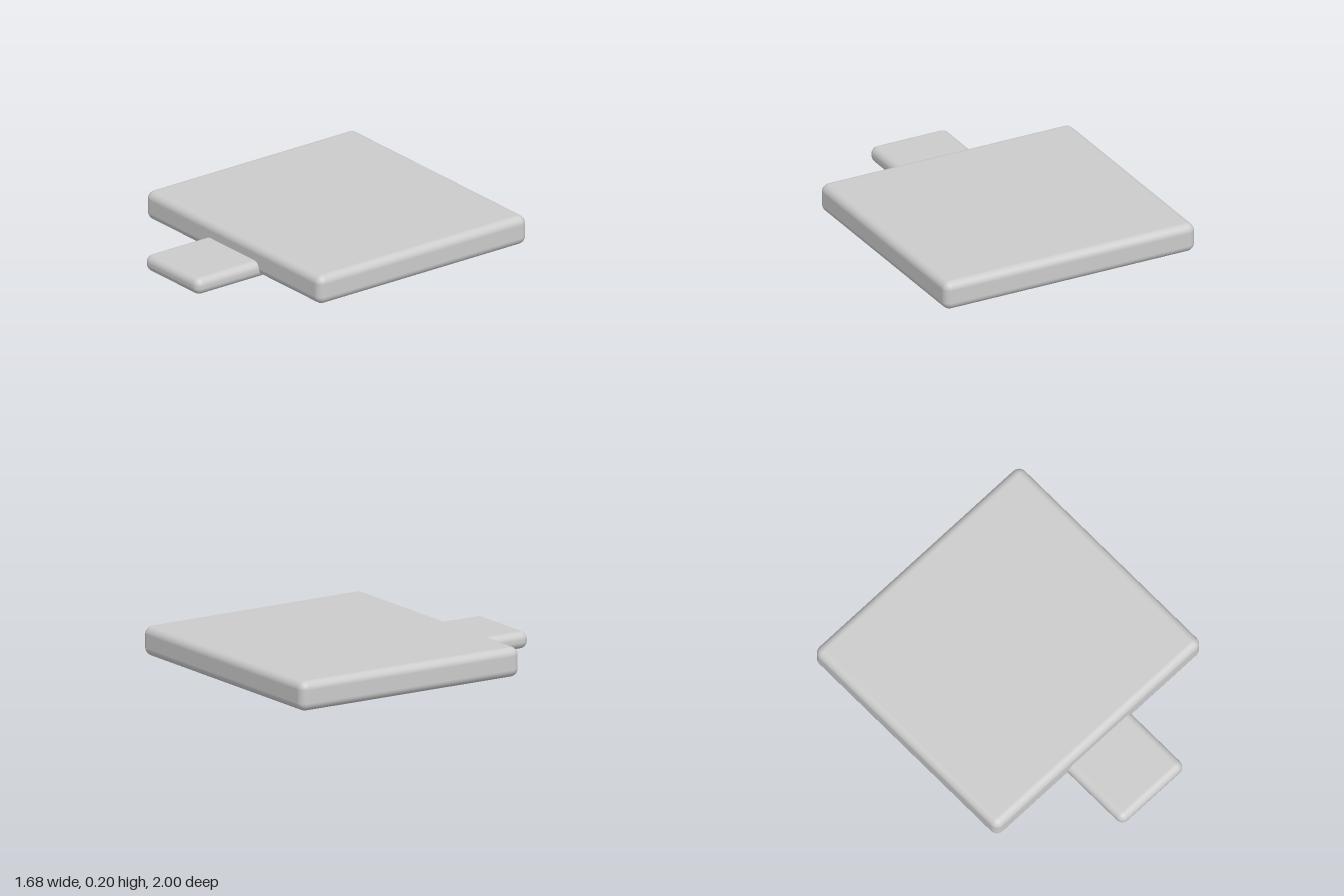
import * as THREE from 'three';
import { RoundedBoxGeometry } from 'three/addons/geometries/RoundedBoxGeometry.js';

const material = new THREE.MeshStandardMaterial({ color: 0xcccccc });

// Rounded slab given by its half width and its y and z extents
function slab(name, halfWidth, [y0, y1], [z0, z1], radius) {
  const geometry = new RoundedBoxGeometry(2 * halfWidth, y1 - y0, z1 - z0, 4, radius);
  const mesh = new THREE.Mesh(geometry, material);
  mesh.name = name;
  mesh.position.set(0, (y0 + y1) / 2, (z0 + z1) / 2);
  return mesh;
}

export function createModel() {
  const model = new THREE.Group();
  model.name = 'slabWithTab';

  // Wide main slab
  model.add(slab('mainSlab', 0.838, [0.016, 0.196], [-1, 0.545], 0.05));

  // Thin front tab, tucked into the slab's underside
  model.add(slab('frontTab', 0.257, [0, 0.103], [0.36, 1], 0.046));

  return model;
}
